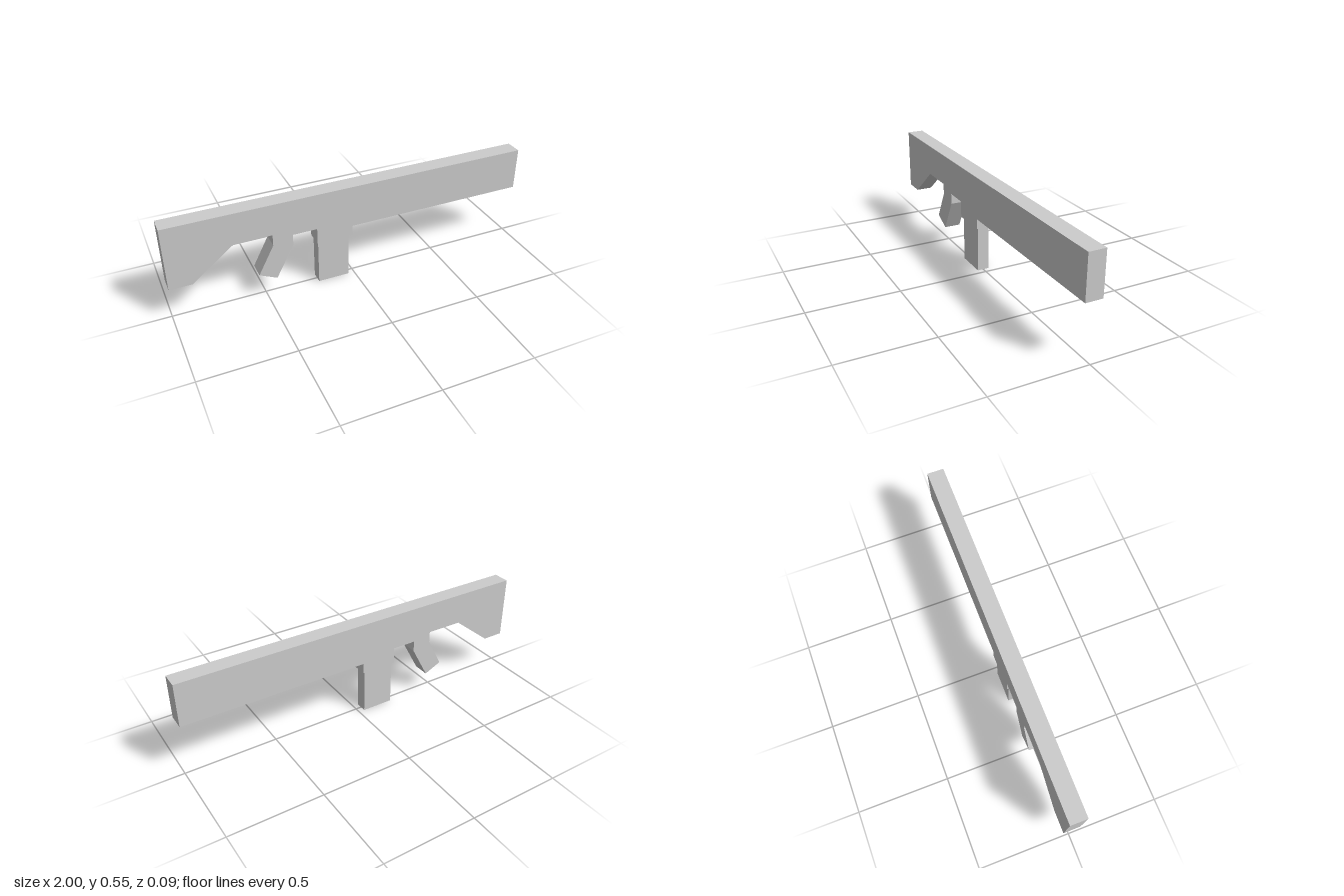
import * as THREE from 'three';

const material = new THREE.MeshStandardMaterial({ color: 0xcccccc, flatShading: true });

// Extrudes a side outline, centred on z = 0
function slab(name, points, depth) {
  const shape = new THREE.Shape(points.map(([x, y]) => new THREE.Vector2(x, y)));
  const geometry = new THREE.ExtrudeGeometry(shape, { depth, bevelEnabled: false });
  geometry.translate(0, 0, -depth / 2);
  const mesh = new THREE.Mesh(geometry, material);
  mesh.name = name;
  return mesh;
}

export function createModel() {
  const model = new THREE.Group();
  model.name = 'blockRifle';

  // Barrel, receiver, grip and stock share one continuous outline
  const body = slab('body', [
    [-1, 0.55], [-1, 0.2], [-0.88, 0.2], [-0.657, 0.375], // stock
    [-0.455, 0.375], [-0.455, 0.313], [-0.54, 0.15], // grip, rear edge
    [-0.445, 0.105], [-0.348, 0.288], [-0.348, 0.348], // grip, front edge
    [-0.215, 0.348], [-0.215, 0.257], [-0.016, 0.257], [-0.016, 0.315], // magazine well
    [1, 0.315], [1, 0.55], // barrel
  ], 0.092);

  // Narrower magazine below the well
  const magazine = new THREE.Mesh(new THREE.BoxGeometry(0.175, 0.257, 0.066), material);
  magazine.name = 'magazine';
  magazine.position.set(-0.12, 0.1285, 0);

  model.add(body, magazine);
  return model;
}
